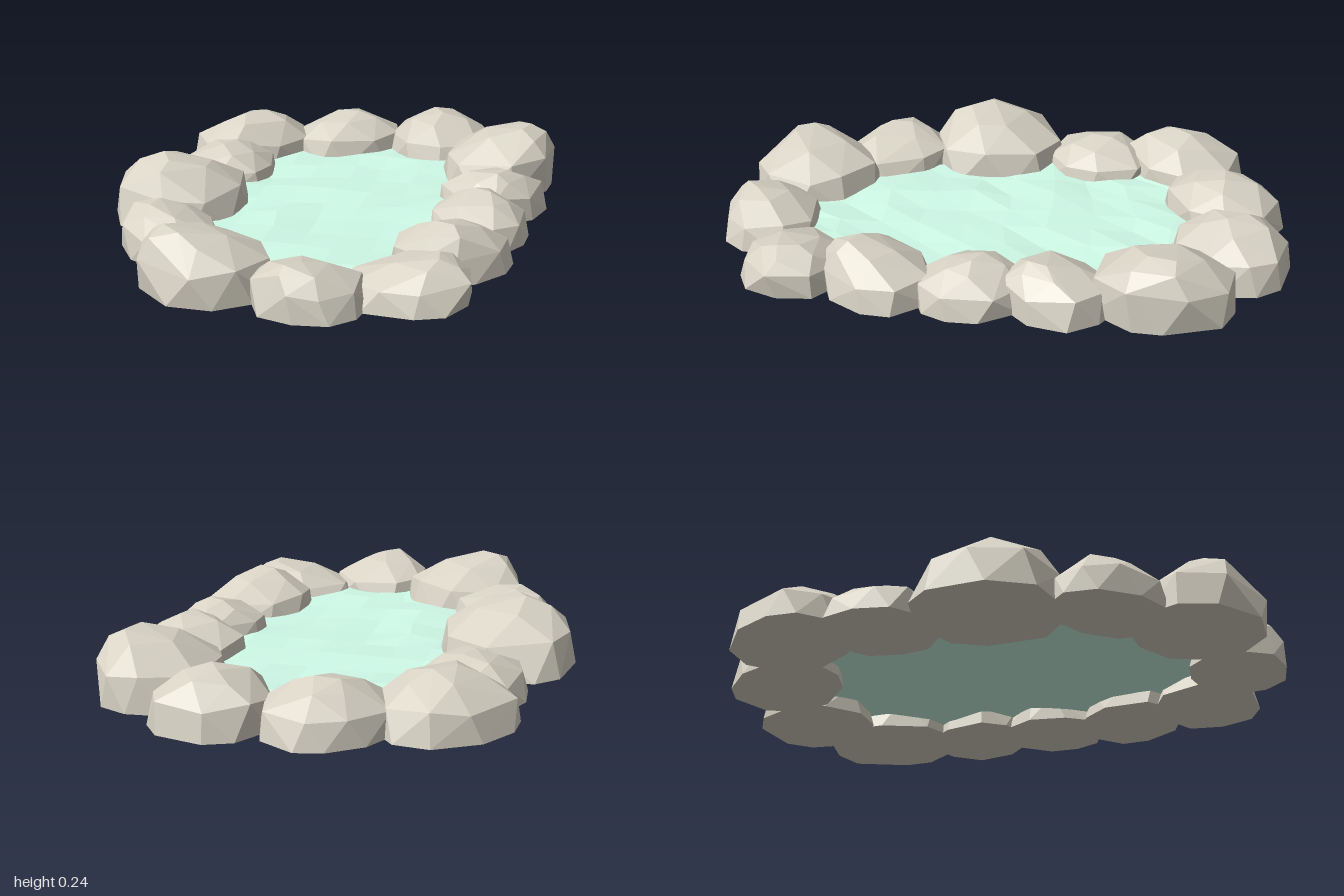
import * as THREE from 'three';
import { ConvexGeometry } from 'three/addons/geometries/ConvexGeometry.js';

// x, z, half width, half depth, turn in degrees, height, peak offset x, peak offset z
const ROCKS = [
  [-0.45, -0.63, 0.24, 0.2, 45, 0.195, 0.02, 0.02],
  [-0.1, -0.77, 0.235, 0.185, 40, 0.18, 0.0, 0.0],
  [0.28, -0.785, 0.205, 0.213, 0, 0.197, -0.02, -0.02],
  [0.535, -0.555, 0.215, 0.245, 0, 0.225, 0.1, 0.0],
  [0.57, -0.215, 0.195, 0.175, 45, 0.167, 0.02, 0.06],
  [0.565, 0.07, 0.17, 0.19, 0, 0.16, 0.0, -0.02],
  [0.52, 0.385, 0.205, 0.18, 50, 0.18, -0.02, 0.1],
  [0.42, 0.69, 0.21, 0.185, 0, 0.15, 0.11, 0.0],
  [0.145, 0.83, 0.19, 0.17, 0, 0.167, -0.05, 0.07],
  [-0.22, 0.73, 0.235, 0.213, -40, 0.21, -0.09, 0.06],
  [-0.43, 0.46, 0.21, 0.165, -50, 0.17, -0.06, 0.0],
  [-0.52, 0.07, 0.24, 0.25, 0, 0.237, -0.03, 0.08],
  [-0.47, -0.31, 0.19, 0.205, 0, 0.155, 0.02, 0.0],
];

// Seeded random numbers from -1 to 1
function makeRandom(seed) {
  let s = seed * 7919 + 17;
  return () => {
    s = (s * 16807) % 2147483647;
    return (s / 2147483647) * 2 - 1;
  };
}

// Faceted boulder with steep sides, a sloping top, an off-centre peak and a flat base
function rockGeometry(rx, rz, angle, h, px, pz, seed) {
  const rnd = makeRandom(seed);
  for (let i = 0; i < 5; i++) rnd();
  // sides, radius, height, jitter in height
  const rings = [[10, 1, 0, 0], [8, 0.93, 0.52, 0.07], [5, 0.54, 0.84, 0.04], [2, 0.2, 0.98, 0.02]];
  const points = [];
  const peak = new THREE.Vector3(px, 0, pz);
  for (const [n, r, y, dy] of rings) {
    const turn = rnd() * Math.PI;
    for (let i = 0; i < n; i++) {
      const a = turn + ((i + rnd() * 0.22) / n) * Math.PI * 2;
      const c = Math.cos(a), s = Math.sin(a);
      // Slightly squared outline
      const square = (Math.abs(c) ** 2.35 + Math.abs(s) ** 2.35) ** (-1 / 2.35);
      const rr = r * square * (1 + rnd() * 0.03);
      points.push(new THREE.Vector3(c * rr, y + rnd() * dy, s * rr));
    }
  }
  // Fit the points to the wanted size, turn them and lean the top towards the peak
  const box = new THREE.Box3().setFromPoints(points);
  const mid = box.getCenter(new THREE.Vector3());
  const size = box.getSize(new THREE.Vector3());
  const up = new THREE.Vector3(0, 1, 0);
  for (const p of points) {
    const lean = (p.y / box.max.y) ** 3;
    p.set((p.x - mid.x) / size.x * 2 * rx, p.y / box.max.y * h, (p.z - mid.z) / size.z * 2 * rz);
    p.applyAxisAngle(up, THREE.MathUtils.degToRad(angle)).addScaledVector(peak, lean);
  }
  return new ConvexGeometry(points);
}

// Rippled water sheet with rounded corners, tucked under the rocks
function waterGeometry() {
  const geo = new THREE.PlaneGeometry(2, 2, 7, 10).rotateX(-Math.PI / 2);
  const pos = geo.attributes.position;
  const rnd = makeRandom(5);
  for (let i = 0; i < pos.count; i++) {
    const u = pos.getX(i), v = pos.getZ(i);
    pos.setXYZ(i,
      0.06 + u * 0.47 * Math.sqrt(1 - 0.35 * v * v) + rnd() * 0.014,
      0.045 + rnd() * 0.01,
      v * 0.75 * Math.sqrt(1 - 0.3 * u * u) + rnd() * 0.014);
  }
  geo.computeVertexNormals();
  return geo;
}

export function createModel() {
  const group = new THREE.Group();
  group.name = 'rockPond';
  const stone = new THREE.MeshStandardMaterial({ color: 0xd8d3c5, flatShading: true });
  const waterMaterial = new THREE.MeshStandardMaterial({
    color: 0xcffae8, flatShading: true, side: THREE.DoubleSide });

  // Ring of boulders
  const border = new THREE.Group();
  border.name = 'rockBorder';
  ROCKS.forEach(([x, z, ...shape], i) => {
    const rock = new THREE.Mesh(rockGeometry(...shape, i + 1), stone);
    rock.name = 'rock' + (i + 1);
    rock.position.set(x, 0, z);
    border.add(rock);
  });
  group.add(border);

  // Water surface
  const water = new THREE.Mesh(waterGeometry(), waterMaterial);
  water.name = 'water';
  group.add(water);
  return group;
}
